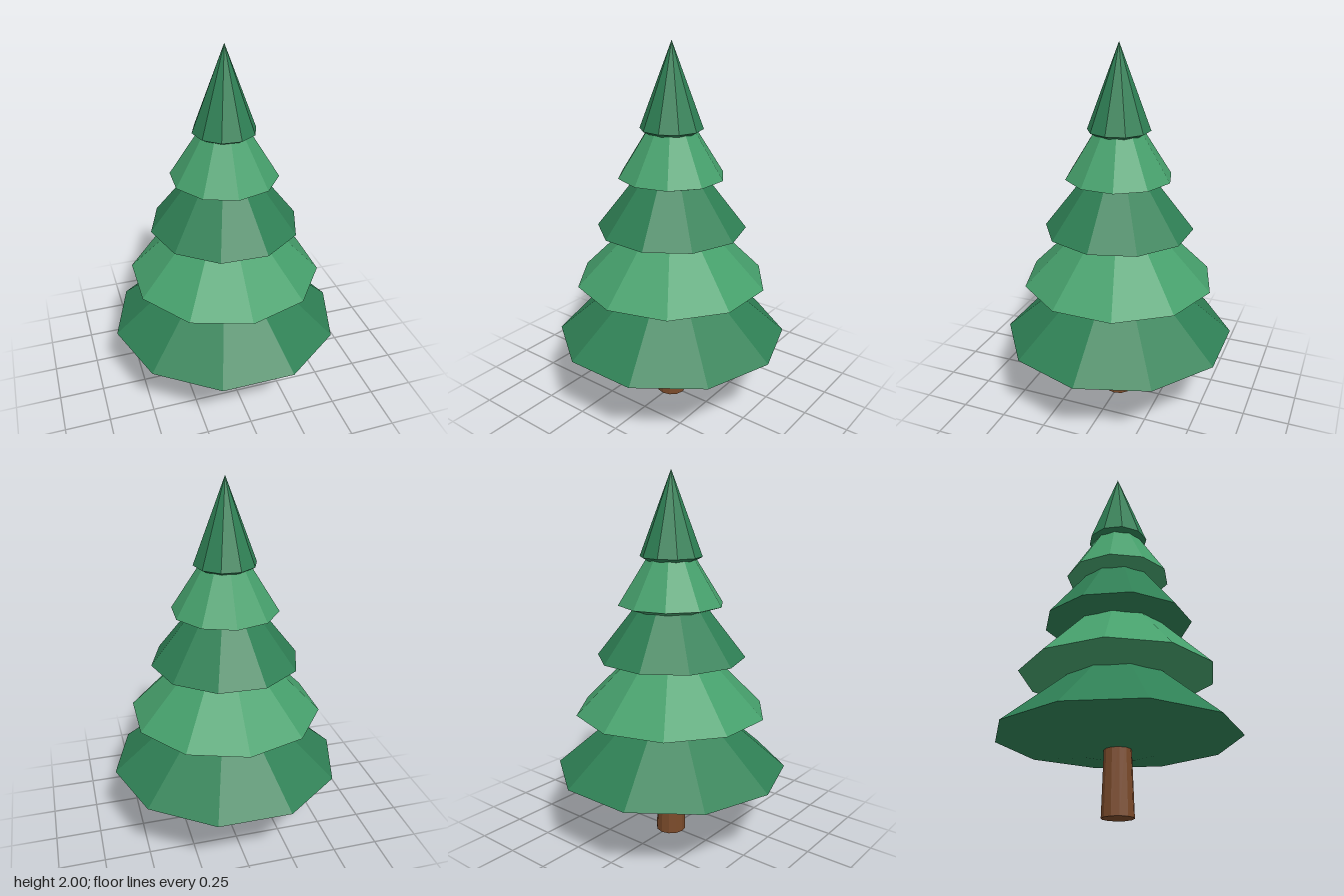
import * as THREE from 'three';

const SIDES = 10;
const DROP = 0.06; // how far each underside bulges below its rim

// [rim height, rim radius, tip height], bottom to top
const TIERS = [
  [0.395, 0.635, 0.94],
  [0.725, 0.522, 1.25],
  [1.025, 0.401, 1.54],
  [1.31, 0.285, 1.76],
  [1.56, 0.166, 2.0],
];

export function createModel() {
  const tree = new THREE.Group();
  tree.name = 'pineTree';

  const material = (color) => new THREE.MeshStandardMaterial({ color, flatShading: true });
  const greens = [material(0x2f8055), material(0x46a06c)];

  // Tapered trunk, reaching up inside the lowest tier
  const trunkGeometry = new THREE.CylinderGeometry(0.068, 0.083, 0.42, 12);
  trunkGeometry.translate(0, 0.21, 0);
  const trunk = new THREE.Mesh(trunkGeometry, material(0x7a4a2a));
  trunk.name = 'trunk';
  tree.add(trunk);

  // Foliage tiers: faceted cones with a shallow tapered underside, each twisted a little
  TIERS.forEach(([rimY, radius, tipY], i) => {
    const profile = [
      new THREE.Vector2(0, rimY - DROP),
      new THREE.Vector2(radius * 0.35, rimY - DROP),
      new THREE.Vector2(radius, rimY),
      new THREE.Vector2(0, tipY),
    ];
    const geometry = new THREE.LatheGeometry(profile, SIDES, Math.PI / 2 - 0.33 * i);
    const tier = new THREE.Mesh(geometry, greens[i % 2]);
    tier.name = `foliageTier${i + 1}`;
    tree.add(tier);
  });

  return tree;
}
